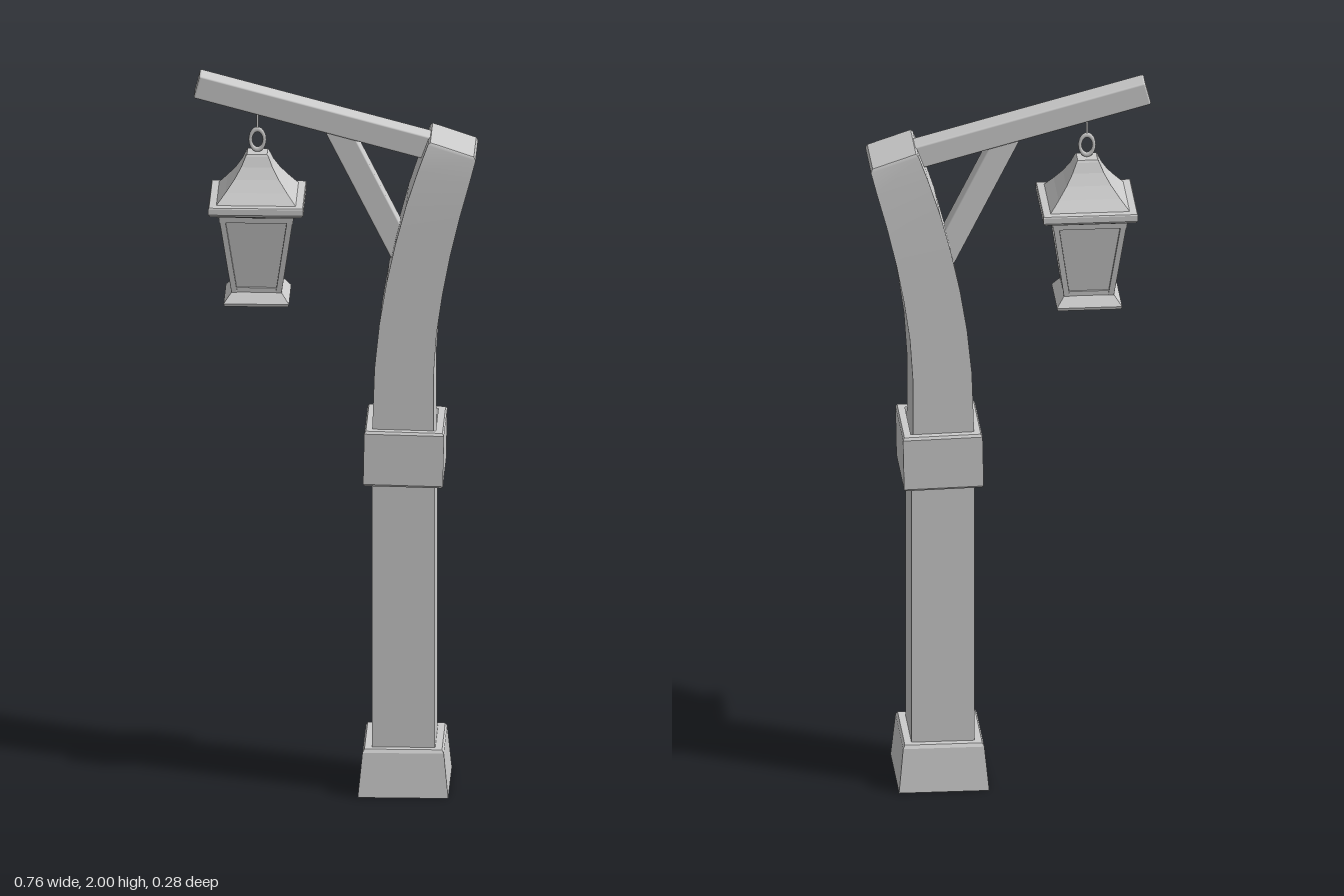
import * as THREE from 'three';
import { RoundedBoxGeometry } from 'three/addons/geometries/RoundedBoxGeometry.js';

const solid = new THREE.MeshStandardMaterial({ color: 0xcccccc });
const faceted = new THREE.MeshStandardMaterial({ color: 0xcccccc, flatShading: true, side: THREE.DoubleSide });

function add(parent, name, geometry, material = solid) {
  const mesh = new THREE.Mesh(geometry, material);
  mesh.name = name;
  parent.add(mesh);
  return mesh;
}

// Square-section shell from a profile of [half width, y]
function squareShell(profile, scaleX = 1) {
  const points = profile.map(([h, y]) => new THREE.Vector2(h * Math.SQRT2, y));
  return new THREE.LatheGeometry(points, 4, Math.PI / 4).scale(scaleX, 1, 1);
}

// Soft-edged beam between two points, w across and d deep
function bar(parent, name, from, to, w, d) {
  const a = new THREE.Vector3(...from), b = new THREE.Vector3(...to);
  const dir = b.clone().sub(a);
  const mesh = add(parent, name, new RoundedBoxGeometry(w, dir.length(), d, 2, Math.min(w, d) * 0.08));
  mesh.position.copy(a).add(b).multiplyScalar(0.5);
  mesh.quaternion.setFromUnitVectors(new THREE.Vector3(0, 1, 0), dir.normalize());
}

// Rectangular loft through [left x, left y, right x, right y, half depth]
function loft(sections) {
  const n = sections.length - 1;
  const geo = new THREE.BoxGeometry(1, 1, 1, 1, n, 1);
  const p = geo.attributes.position;
  for (let i = 0; i < p.count; i++) {
    const [xl, yl, xr, yr, hz] = sections[Math.round((p.getY(i) + 0.5) * n)];
    const left = p.getX(i) < 0;
    p.setXYZ(i, left ? xl : xr, left ? yl : yr, Math.sign(p.getZ(i)) * hz);
  }
  geo.computeVertexNormals();
  return geo;
}

function createLantern() {
  const lantern = new THREE.Group();
  lantern.name = 'lantern';

  // Hanging pin and ring
  const pin = add(lantern, 'hangingPin', new THREE.CylinderGeometry(0.003, 0.003, 0.06, 8));
  pin.position.y = 1.875;
  const ring = add(lantern, 'hangingRing', new THREE.TorusGeometry(0.019, 0.005, 8, 24));
  ring.scale.y = 1.5;
  ring.position.y = 1.816;

  // Flared roof with its eave slab and trim
  add(lantern, 'roof', squareShell([
    [0.108, 1.66], [0.083, 1.69], [0.06, 1.72], [0.042, 1.75], [0.031, 1.776], [0.027, 1.782], [0, 1.782],
  ]), faceted);
  add(lantern, 'eave', squareShell([
    [0, 1.634], [0.122, 1.634], [0.128, 1.641], [0.128, 1.657], [0.126, 1.66], [0.1, 1.662],
  ]), faceted);
  add(lantern, 'topRail', squareShell([
    [0.088, 1.634], [0.085, 1.61], [0.099, 1.61], [0.101, 1.625], [0.106, 1.627], [0.108, 1.636], [0.088, 1.636],
  ]), faceted);

  // Tapered corner posts
  for (const sx of [-1, 1]) for (const sz of [-1, 1]) {
    bar(lantern, 'cornerPost', [sx * 0.059, 1.4, sz * 0.059], [sx * 0.093, 1.63, sz * 0.093], 0.016, 0.016);
  }

  // Recessed panes and flared foot frame
  add(lantern, 'panes', squareShell([[0.06, 1.405], [0.093, 1.63]]), faceted);
  add(lantern, 'footFrame', squareShell([
    [0.054, 1.37], [0.086, 1.37], [0.088, 1.378], [0.071, 1.4], [0.067, 1.405], [0.068, 1.418], [0.054, 1.418], [0.054, 1.37],
  ]), faceted);

  lantern.position.set(-0.211, -0.004, 0);
  return lantern;
}

export function createModel() {
  const model = new THREE.Group();
  model.name = 'lampPost';

  // Post, straight below and bending outward above the collar
  add(model, 'post', loft([
    [0.101, 0.12, 0.271, 0.12, 0.1],
    [0.101, 0.9, 0.271, 0.9, 0.1],
    [0.102, 1.03, 0.267, 1.02, 0.1],
    [0.108, 1.2, 0.267, 1.18, 0.1],
    [0.121, 1.325, 0.275, 1.3, 0.1],
    [0.14, 1.44, 0.291, 1.41, 0.1],
    [0.164, 1.55, 0.312, 1.52, 0.1],
    [0.193, 1.66, 0.338, 1.63, 0.1],
    [0.224, 1.755, 0.364, 1.725, 0.097],
    [0.251, 1.829, 0.38, 1.787, 0.093],
    [0.258, 1.836, 0.375, 1.797, 0.088],
  ]));

  // Plinth and collar around the post
  const plinth = add(model, 'plinth', squareShell([
    [0.14, 0], [0.126, 0.122], [0.12, 0.131], [0.098, 0.131],
  ], 0.87), faceted);
  plinth.position.x = 0.186;
  const collar = add(model, 'collar', squareShell([
    [0.098, -0.078], [0.12, -0.078], [0.125, -0.072], [0.125, 0.07], [0.12, 0.077], [0.098, 0.077],
  ], 0.86), faceted);
  collar.position.set(0.187, 0.95, 0);
  collar.rotation.z = -0.02;

  // Sloping arm and its diagonal brace
  bar(model, 'arm', [-0.374, 1.968, 0], [0.26, 1.799, 0], 0.065, 0.068);
  bar(model, 'brace', [0.004, 1.852, 0], [0.205, 1.452, 0], 0.066, 0.055);

  model.add(createLantern());
  return model;
}
